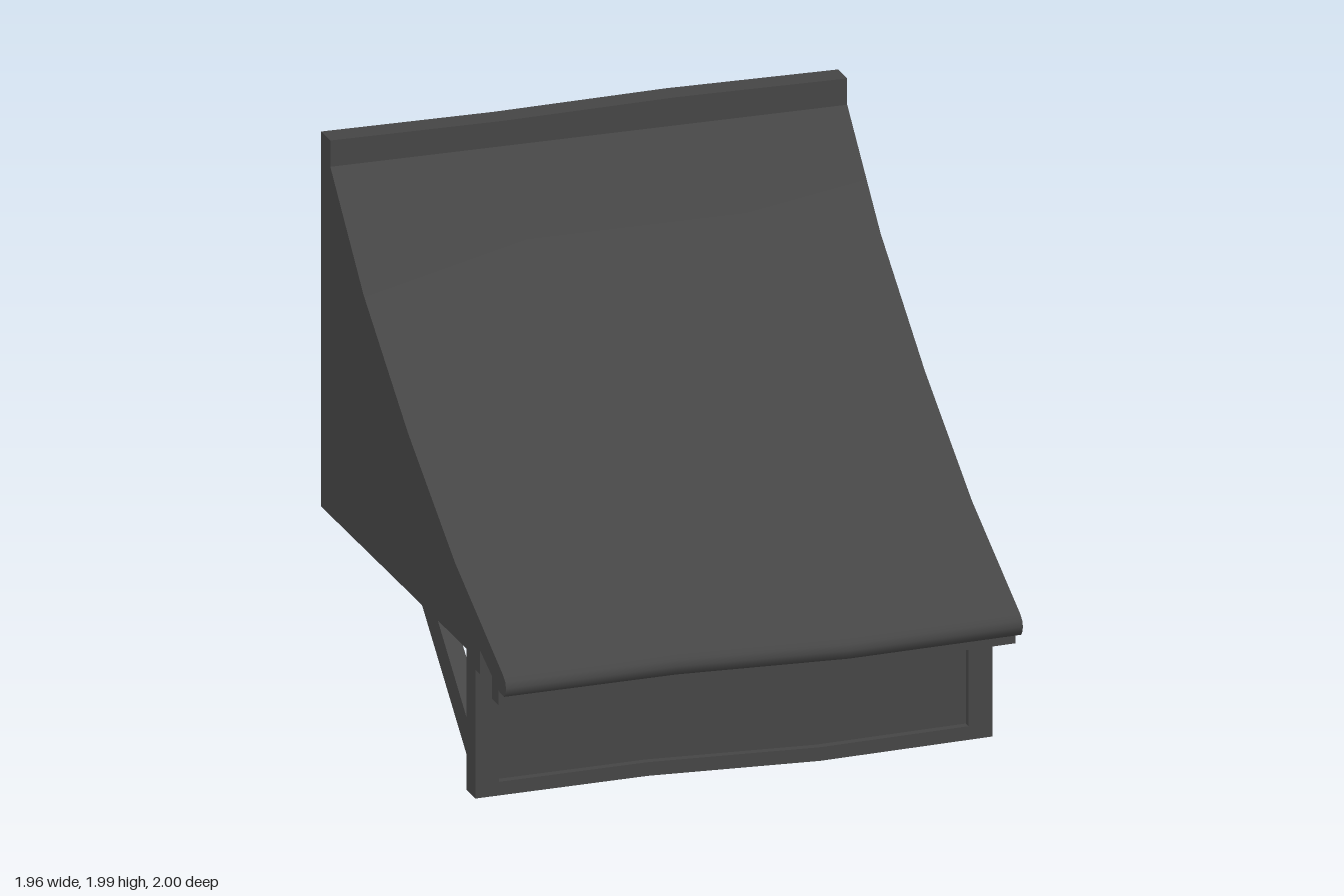
import * as THREE from 'three';
import { toCreasedNormals } from 'three/addons/utils/BufferGeometryUtils.js';

const HALF = 0.98;
const material = new THREE.MeshStandardMaterial({ color: 0x454545 });

// Crooked timber: full-width parts sag on one side and rise on the other.
function warp(geometry, amount) {
  const p = geometry.attributes.position;
  for (let i = 0; i < p.count; i++) {
    const x = p.getX(i), y = p.getY(i), z = p.getZ(i);
    const third = Math.abs(Math.abs(x) - HALF / 3) < 0.01;
    if (third) p.setY(i, y + amount(y, z) * (x > 0 ? 1 : -0.55));
  }
  return toCreasedNormals(geometry, 0.7);
}

// Extrudes a [z, y] outline along x, centred on x = centre.
function extrudeX(outline, width, centre = 0, steps = 1) {
  const shape = new THREE.Shape(outline.map(([z, y]) => new THREE.Vector2(z, y)));
  const g = new THREE.ExtrudeGeometry(shape, { depth: width, steps, bevelEnabled: false });
  g.rotateY(-Math.PI / 2);
  g.translate(centre + width / 2, 0, 0);
  return g;
}

// Box given by its limits.
function block(x0, x1, y0, y1, z0, z1, steps = 1) {
  return extrudeX([[z0, y0], [z1, y0], [z1, y1], [z0, y1]], x1 - x0, (x0 + x1) / 2, steps);
}

export function createModel() {
  const group = new THREE.Group();
  const add = (name, geometry) => {
    const mesh = new THREE.Mesh(geometry, material);
    mesh.name = name;
    group.add(mesh);
  };

  // Curved roof with ridge board, solid sides and rounded eave
  const roof = [
    [-1, 0.62], [0.66, 0.62], [0.72, 0.595], [0.93, 0.508], [0.98, 0.508],
    [0.995, 0.525], [1, 0.545], [0.993, 0.567], [0.97, 0.585], [0.45, 0.835],
    [-0.06, 1.155], [-0.54, 1.515], [-0.9, 1.88], [-0.9, 1.98], [-1, 1.98],
  ];
  add('roof', warp(extrudeX(roof, 2 * HALF, 0, 3),
    (y, z) => (y > 1.9 ? 0.007 : z > 0.9 ? -0.012 : 0)));

  // Rim around the recessed underside
  add('backRim', block(-HALF, HALF, 0.552, 0.62, -1, -0.91));
  add('frontRim', block(-HALF, HALF, 0.552, 0.62, 0.47, 0.57));
  for (const s of [-1, 1]) {
    const c = s * (HALF - 0.045);
    add('sideRim', block(c - 0.045, c + 0.045, 0.552, 0.62, -0.91, 0.47));
  }

  // Beam under the roof and batten under the eave
  add('beam', block(-HALF, HALF, 0.505, 0.64, 0.57, 0.72));
  add('eaveBatten', warp(block(-HALF, HALF, 0.455, 0.56, 0.85, 0.92, 3), () => -0.014));

  // Front frame with inset panel
  add('bottomRail', warp(block(-HALF, HALF, 0.014, 0.066, 0.57, 0.67, 3), () => -0.014));
  add('panel', block(-0.89, 0.89, 0.045, 0.53, 0.6, 0.64));
  for (const s of [-1, 1]) {
    const c = s * (HALF - 0.045);
    add('post', block(c - 0.045, c + 0.045, 0.06, 0.52, 0.57, 0.67));
    // Diagonal brace from post to underside
    add('brace', extrudeX([[0.58, 0.1], [0.58, 0.24], [0.2, 0.56], [0.03, 0.56]], 0.065, c));
  }
  return group;
}
